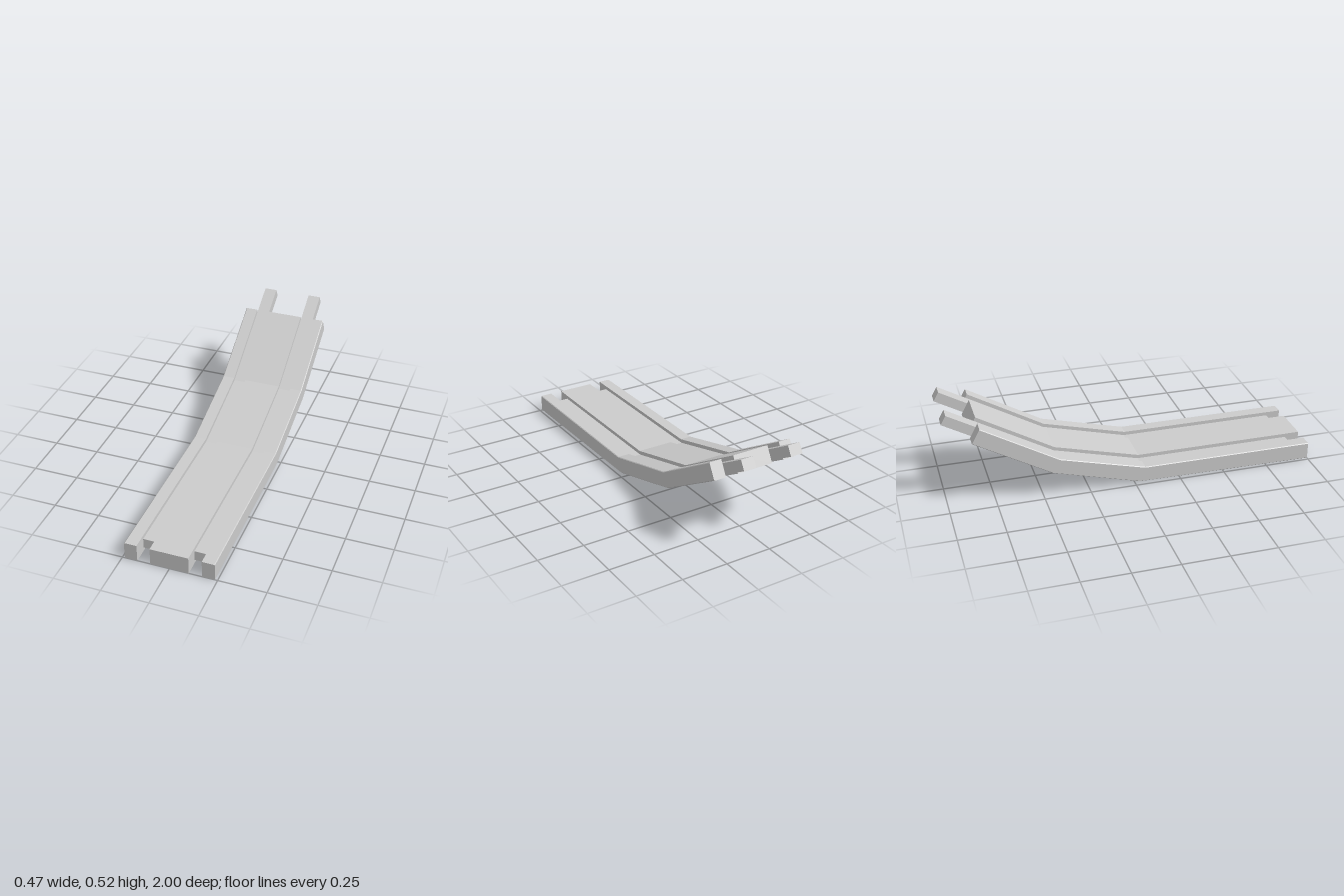
import * as THREE from 'three';

// Stations along the ramp, front to back: [z top, y top, z bottom, y bottom]
const beamPath = [
  [1, 0.095, 1, 0],
  [0.055, 0.096, 0.025, 0.011],
  [-0.409, 0.218, -0.451, 0.142],
  [-0.817, 0.457, -0.86, 0.378],
];
const rodPath = [
  [0.92, 0.075, 0.92, 0.02],
  [0.05, 0.076, 0.031, 0.029],
  [-0.415, 0.2, -0.441, 0.153],
  [-0.973, 0.523, -1, 0.475],
];

// Sweeps a convex section of [x, height 0..1], counter-clockwise from the front, along a path
function sweep(section, path) {
  const rings = path.map(([zt, yt, zb, yb]) => section.map(([x, t]) => [
    x, yb + (yt - yb) * t, zb + (zt - zb) * t,
  ]));
  const pos = [];
  const tri = (a, b, c) => pos.push(...a, ...b, ...c);
  const n = section.length;
  for (let i = 0; i < rings.length - 1; i++) {
    for (let j = 0; j < n; j++) {
      const k = (j + 1) % n;
      const [a, b, c, d] = [rings[i][j], rings[i + 1][j], rings[i + 1][k], rings[i][k]];
      tri(a, b, c);
      tri(a, c, d);
    }
  }
  // End caps
  const front = rings[0], back = rings[rings.length - 1];
  for (let j = 1; j < n - 1; j++) {
    tri(front[0], front[j], front[j + 1]);
    tri(back[0], back[j + 1], back[j]);
  }
  const geometry = new THREE.BufferGeometry();
  geometry.setAttribute('position', new THREE.Float32BufferAttribute(pos, 3));
  geometry.computeVertexNormals();
  return geometry;
}

const rect = (x0, x1) => [[x0, 0], [x1, 0], [x1, 1], [x0, 1]];
const mirror = (section) => section.map(([x, t]) => [-x, t]).reverse();

export function createModel() {
  const group = new THREE.Group();
  group.name = 'bentRamp';
  const material = new THREE.MeshStandardMaterial({ color: 0xcccccc, flatShading: true });
  const add = (name, section, path) => {
    const mesh = new THREE.Mesh(sweep(section, path), material);
    mesh.name = name;
    group.add(mesh);
  };

  // Wide middle deck
  add('centreDeck', rect(-0.101, 0.101), beamPath);

  // Outer rails, with a small chamfer on the outside edges
  const rail = [[0.17, 0], [0.233, 0], [0.237, 0.04], [0.237, 0.96], [0.233, 1], [0.17, 1]];
  add('leftRail', rail, beamPath);
  add('rightRail', mirror(rail), beamPath);

  // Recessed connecting rods that stick out at the back
  const rod = rect(0.101, 0.17);
  add('leftConnectorRod', rod, rodPath);
  add('rightConnectorRod', mirror(rod), rodPath);

  return group;
}
